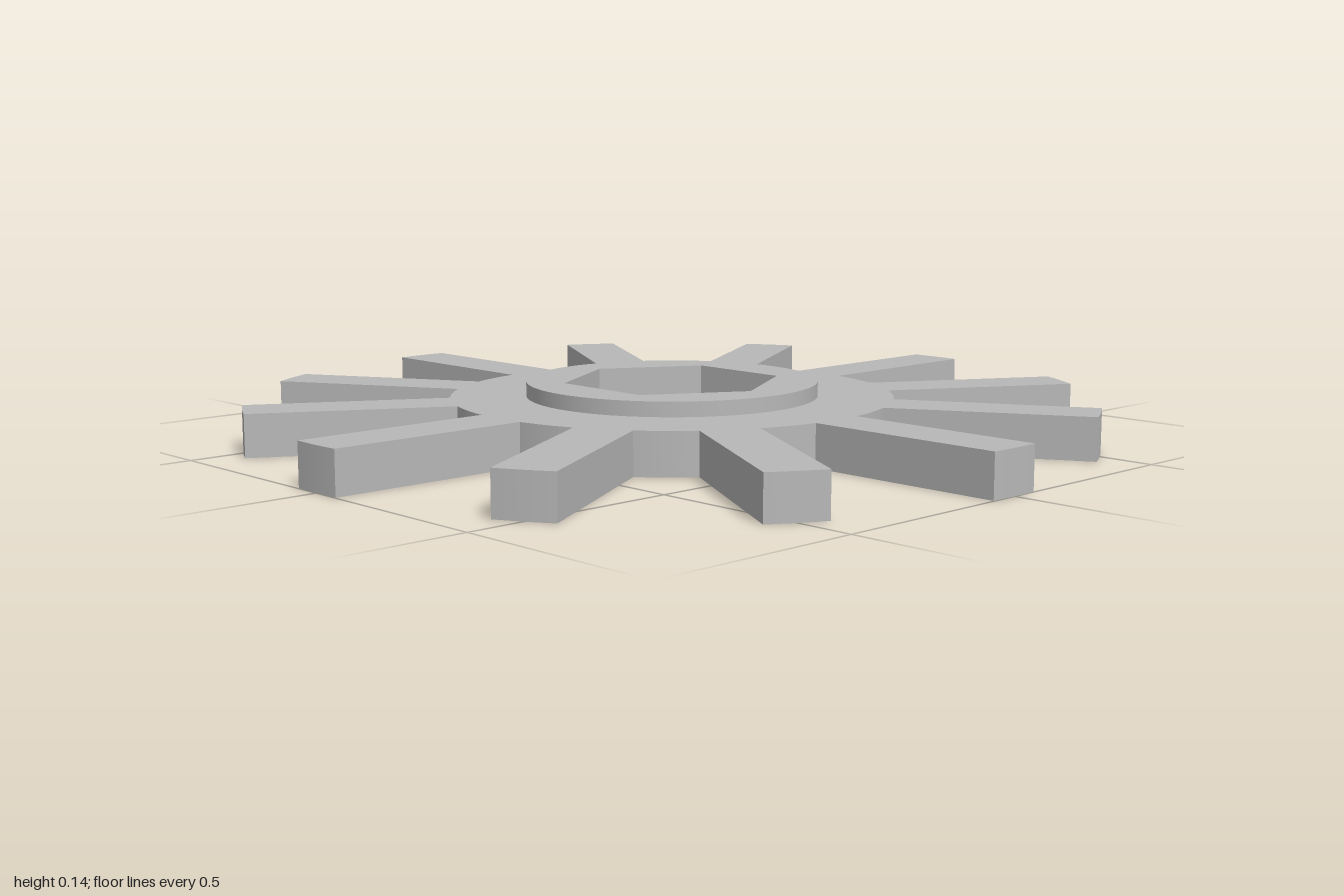
import * as THREE from 'three';
import { toCreasedNormals } from 'three/addons/utils/BufferGeometryUtils.js';

const SPOKES = 12;
const HUB_RADIUS = 0.525;
const TIP_RADIUS = 1;
const SPOKE_HALF_WIDTH = 0.067;
const COLLAR_RADIUS = 0.346;
const BORE_RADIUS = 0.26;
const PLATE_HEIGHT = 0.1;
const COLLAR_HEIGHT = 0.035;

// Hexagonal bore with two corners on the x axis
function hexHole() {
  const points = [];
  for (let i = 0; i < 6; i++) {
    const a = -i * Math.PI / 3;
    points.push(new THREE.Vector2(Math.cos(a) * BORE_RADIUS, Math.sin(a) * BORE_RADIUS));
  }
  return new THREE.Path(points).closePath();
}

// Hub outline with straight spokes ending on the tip circle
function wheelShape() {
  const shape = new THREE.Shape();
  const step = Math.PI * 2 / SPOKES;
  const tip = Math.asin(SPOKE_HALF_WIDTH / TIP_RADIUS);
  const root = Math.asin(SPOKE_HALF_WIDTH / HUB_RADIUS);
  for (let i = 0; i < SPOKES; i++) {
    const a = i * step;
    shape.absarc(0, 0, TIP_RADIUS, a - tip, a + tip, false);
    shape.absarc(0, 0, HUB_RADIUS, a + root, a + step - root, false);
  }
  shape.closePath();
  return shape;
}

// Extrude a drilled outline upwards from the given height
function plate(name, shape, y, height, curveSegments, material) {
  shape.holes.push(hexHole());
  const extruded = new THREE.ExtrudeGeometry(shape, { depth: height, bevelEnabled: false, curveSegments });
  extruded.rotateX(-Math.PI / 2);
  const mesh = new THREE.Mesh(toCreasedNormals(extruded, 0.4), material);
  mesh.name = name;
  mesh.position.y = y;
  return mesh;
}

export function createModel() {
  const group = new THREE.Group();
  group.name = 'spokedWheel';
  const grey = new THREE.MeshStandardMaterial({ color: 0xb8b8b8 });
  grey.name = 'plain grey';

  const collarShape = new THREE.Shape().absarc(0, 0, COLLAR_RADIUS, 0, Math.PI * 2, false);
  group.add(plate('hubAndSpokes', wheelShape(), 0, PLATE_HEIGHT, 6, grey));
  group.add(plate('collar', collarShape, PLATE_HEIGHT, COLLAR_HEIGHT, 72, grey));
  return group;
}
